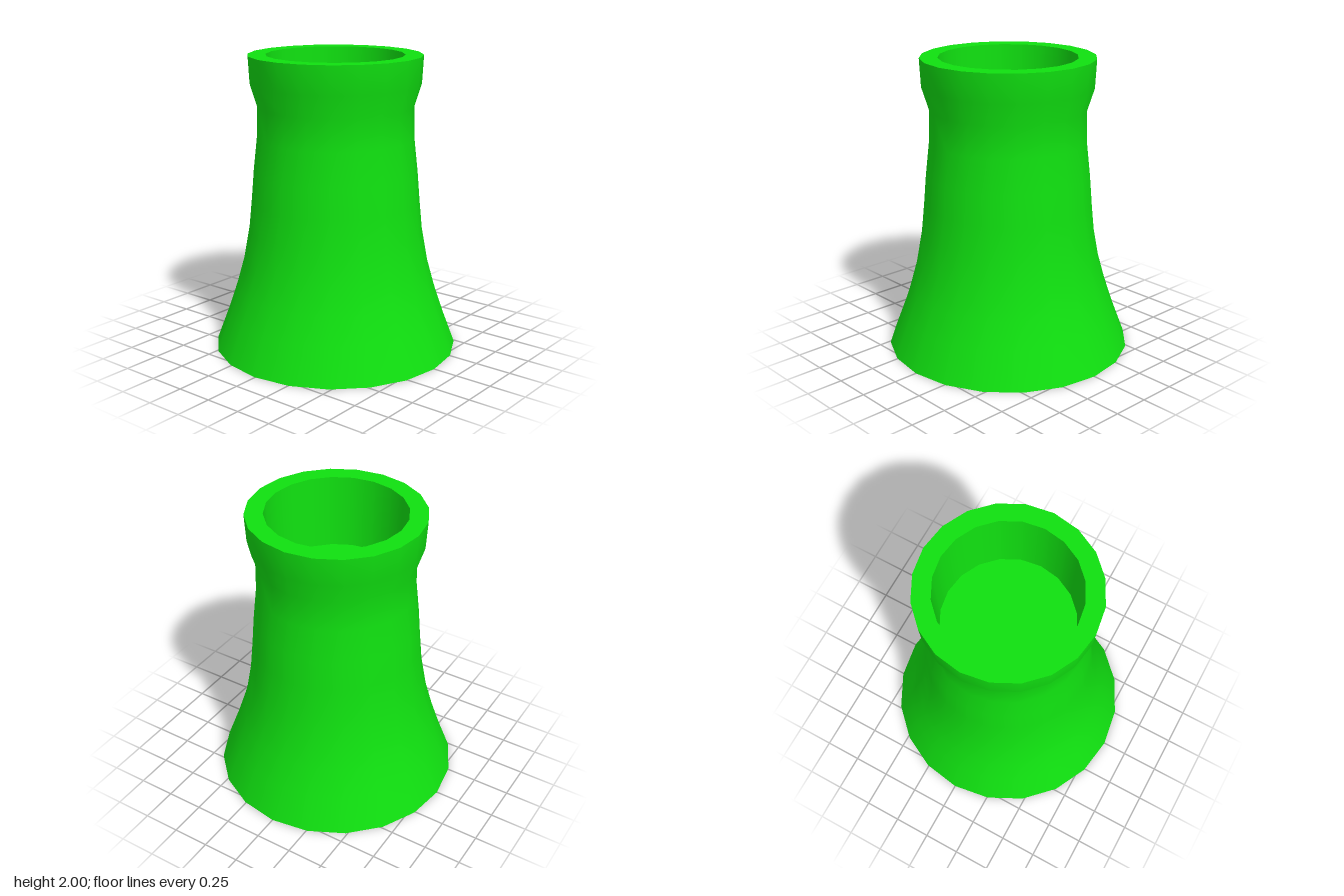
import * as THREE from 'three';

const SIDES = 20;

export function createModel() {
  const model = new THREE.Group();
  model.name = 'coolingTower';
  const green = new THREE.MeshStandardMaterial({ color: 0x10e010, side: THREE.DoubleSide });
  green.name = 'green';

  // Each turned part has its own profile of [radius, height], so edges between parts stay sharp
  const turned = (name, profile) => {
    const points = profile.map(([r, y]) => new THREE.Vector2(r, y));
    const mesh = new THREE.Mesh(new THREE.LatheGeometry(points, SIDES), green);
    mesh.name = name;
    model.add(mesh);
  };

  // Flared outer shell, open underneath, with a collar at the top
  turned('outerShell', [
    [0.83, 0], [0.74, 0.24], [0.68, 0.42], [0.63, 0.6], [0.59, 0.82], [0.57, 1.02],
    [0.553, 1.22], [0.527, 1.45], [0.523, 1.66], [0.57, 1.81], [0.58, 2],
  ]);

  // Flat rim and slightly tapered well
  turned('topRim', [[0.58, 2], [0.46, 2]]);
  turned('innerWall', [[0.46, 2], [0.44, 1.5]]);

  // Floor of the well
  const floor = new THREE.Mesh(new THREE.CircleGeometry(0.44, SIDES), green);
  floor.name = 'wellFloor';
  floor.rotation.x = -Math.PI / 2;
  floor.position.y = 1.5;
  model.add(floor);

  return model;
}
